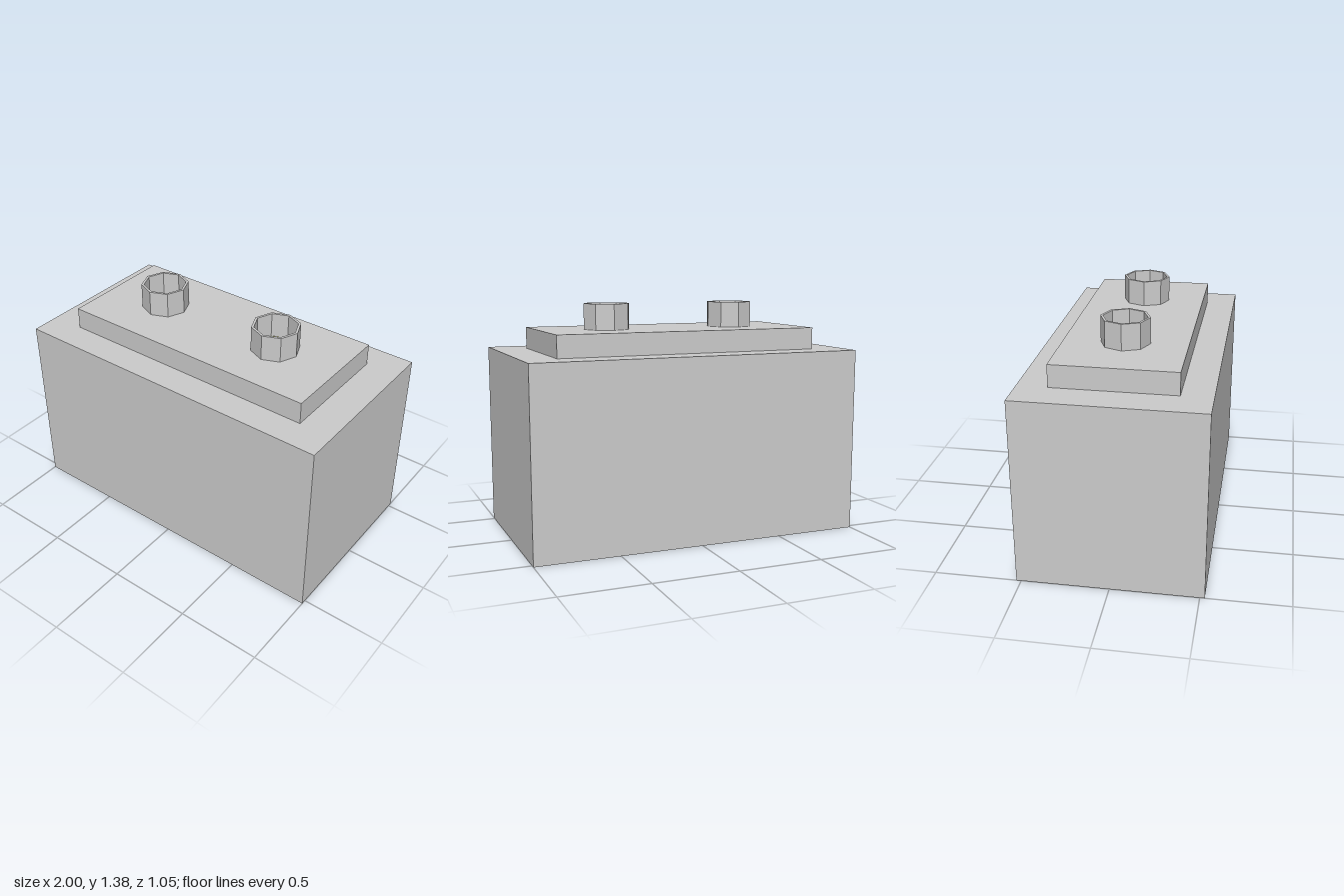
import * as THREE from 'three';

const grey = new THREE.MeshStandardMaterial({ color: 0xcccccc, flatShading: true });
const yellow = new THREE.MeshStandardMaterial({ color: 0xe7e77d, flatShading: true });

const CASE = [2, 1.1, 1.055];
const LID = [1.6, 0.13, 0.705];
const LID_TOP = CASE[1] + LID[1];
const POST = { outer: 0.141, inner: 0.126, height: 0.152, sides: 8 };

function addMesh(parent, name, geometry, material, x, y, z) {
  const mesh = new THREE.Mesh(geometry, material);
  mesh.name = name;
  mesh.position.set(x, y, z);
  parent.add(mesh);
}

// Corners of an octagon with points on the axes
function octagon(radius) {
  return Array.from({ length: POST.sides }, (_, i) => {
    const a = (i / POST.sides) * Math.PI * 2;
    return new THREE.Vector2(Math.cos(a) * radius, Math.sin(a) * radius);
  });
}

// Hollow eight-sided collar, standing upright from y = 0
function collarGeometry() {
  const shape = new THREE.Shape(octagon(POST.outer));
  shape.holes.push(new THREE.Path(octagon(POST.inner)));
  const geometry = new THREE.ExtrudeGeometry(shape, { depth: POST.height, bevelEnabled: false });
  return geometry.rotateX(-Math.PI / 2);
}

export function createModel() {
  const model = new THREE.Group();
  model.name = 'battery';

  // Case and raised lid
  addMesh(model, 'case', new THREE.BoxGeometry(...CASE), grey, 0, CASE[1] / 2, 0);
  addMesh(model, 'lid', new THREE.BoxGeometry(...LID), grey, 0, CASE[1] + LID[1] / 2, -0.002);

  // Two hollow terminals with a coloured floor inside
  for (const [side, x] of [['right', -0.404], ['left', 0.397]]) {
    const terminal = new THREE.Group();
    terminal.name = `${side}Terminal`;
    terminal.position.set(x, LID_TOP, -0.003);
    addMesh(terminal, 'collar', collarGeometry(), grey, 0, 0, 0);
    const floor = new THREE.ShapeGeometry(new THREE.Shape(octagon(POST.inner))).rotateX(-Math.PI / 2);
    addMesh(terminal, 'terminalFloor', floor, yellow, 0, 0.006, 0);
    model.add(terminal);
  }
  return model;
}
